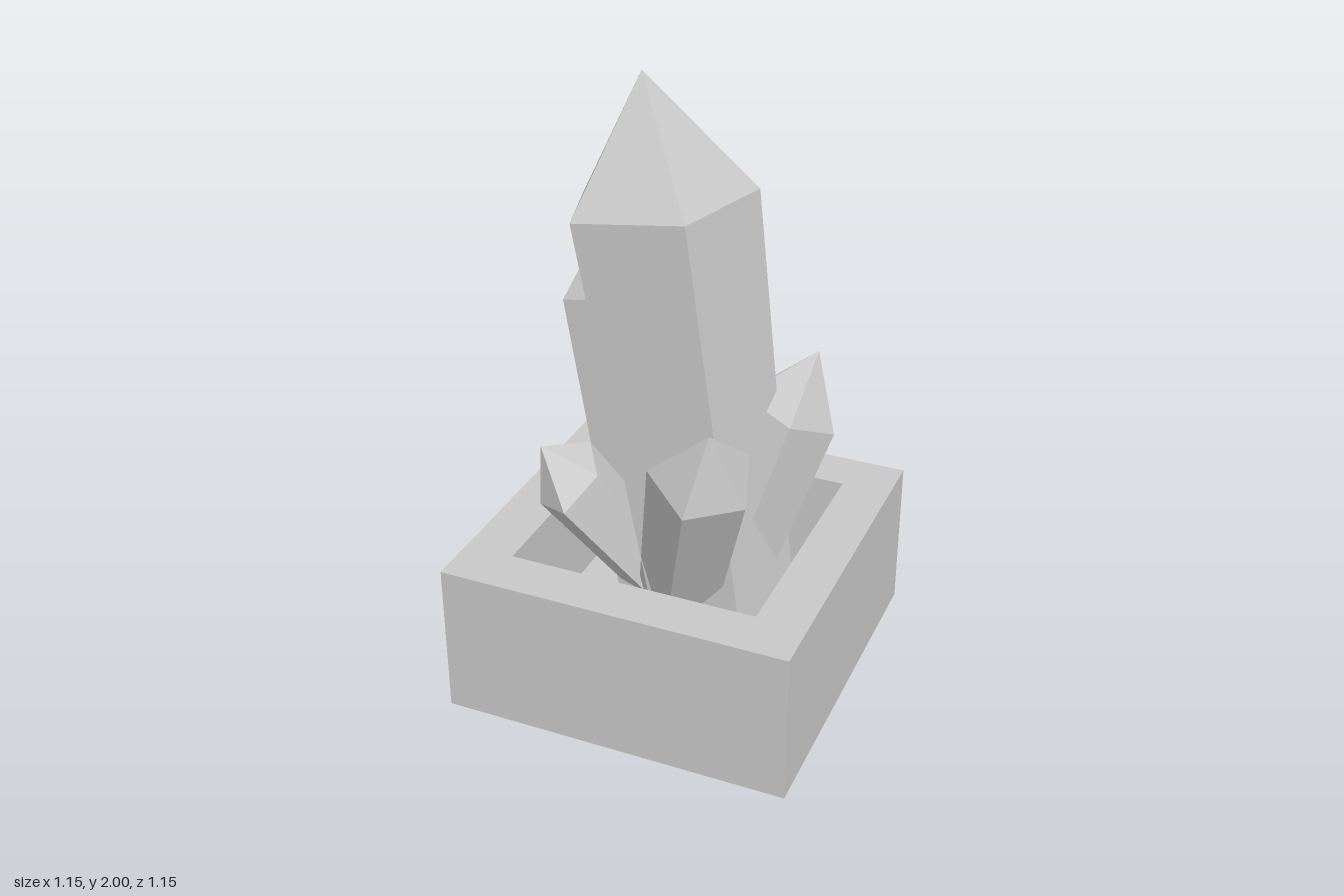
import * as THREE from 'three';

const stone = new THREE.MeshStandardMaterial({ color: 0xc8c8c8 });
stone.name = 'pale grey stone';

// Five-sided tapering crystal: shoulder ring (counterclockwise from above), tip, centre of its base
function crystal(name, ring, tip, baseCentre) {
  const shoulder = ring.map((p) => new THREE.Vector3(...p));
  const centre = shoulder.reduce((sum, p) => sum.add(p), new THREE.Vector3()).divideScalar(ring.length);
  const foot = new THREE.Vector3(...baseCentre);
  const base = shoulder.map((p) => p.clone().sub(centre).multiplyScalar(0.82).add(foot));
  const top = new THREE.Vector3(...tip);
  const corners = [];
  shoulder.forEach((s, i) => {
    const j = (i + 1) % shoulder.length;
    corners.push(base[i], base[j], shoulder[j]); // side
    corners.push(base[i], shoulder[j], s);
    corners.push(s, shoulder[j], top); // point
    corners.push(base[j], base[i], foot); // underside
  });
  const geometry = new THREE.BufferGeometry().setFromPoints(corners);
  geometry.computeVertexNormals();
  const mesh = new THREE.Mesh(geometry, stone);
  mesh.name = name;
  return mesh;
}

function createPot() {
  const pot = new THREE.Group();
  pot.name = 'pot';
  const outer = 0.577, inner = 0.412, height = 0.517, floor = 0.15;

  // Square walls around a square opening
  const square = (h) => [[-h, -h], [h, -h], [h, h], [-h, h]].map(([x, y]) => new THREE.Vector2(x, y));
  const outline = new THREE.Shape(square(outer));
  outline.holes.push(new THREE.Path(square(inner)));
  const wallGeometry = new THREE.ExtrudeGeometry(outline, { depth: height, bevelEnabled: false });
  wallGeometry.rotateX(-Math.PI / 2);
  const walls = new THREE.Mesh(wallGeometry, stone);
  walls.name = 'potWalls';

  // Floor inside the opening
  const base = new THREE.Mesh(new THREE.BoxGeometry(inner * 2, floor, inner * 2), stone);
  base.position.y = floor / 2;
  base.name = 'potFloor';

  pot.add(walls, base);
  return pot;
}

export function createModel() {
  const model = new THREE.Group();
  model.name = 'crystalPot';
  model.add(createPot());

  model.add(crystal('mainCrystal',
    [[-0.27, 1.6, 0.215], [0.09, 1.645, 0.2], [0.185, 1.645, -0.155], [-0.11, 1.6, -0.35], [-0.39, 1.56, -0.125]],
    [-0.155, 2, -0.055], [0.11, 0.2, -0.045]));

  model.add(crystal('backRightCrystal',
    [[-0.525, 1.12, -0.215], [-0.26, 1.2, -0.13], [-0.12, 1.17, -0.375], [-0.27, 1.09, -0.57], [-0.515, 1.06, -0.47]],
    [-0.435, 1.405, -0.455], [-0.03, 0.2, -0.02]));

  model.add(crystal('backLeftCrystal',
    [[0.34, 0.905, -0.052], [0.437, 0.825, -0.205], [0.32, 0.825, -0.36], [0.147, 0.9, -0.31], [0.155, 0.953, -0.12]],
    [0.355, 1.08, -0.267], [0.1, 0.2, 0.01]));

  model.add(crystal('frontLeftCrystal',
    [[0.187, 0.825, 0.45], [0.34, 0.83, 0.33], [0.288, 0.915, 0.16], [0.095, 0.96, 0.175], [0.03, 0.905, 0.353]],
    [0.24, 1.08, 0.375], [0, 0.2, 0.03]));

  model.add(crystal('frontRightCrystal',
    [[-0.29, 0.63, 0.283], [-0.212, 0.74, 0.194], [-0.297, 0.78, 0.07], [-0.418, 0.69, 0.078], [-0.41, 0.6, 0.215]],
    [-0.408, 0.805, 0.2], [-0.03, 0.2, -0.03]));

  return model;
}
